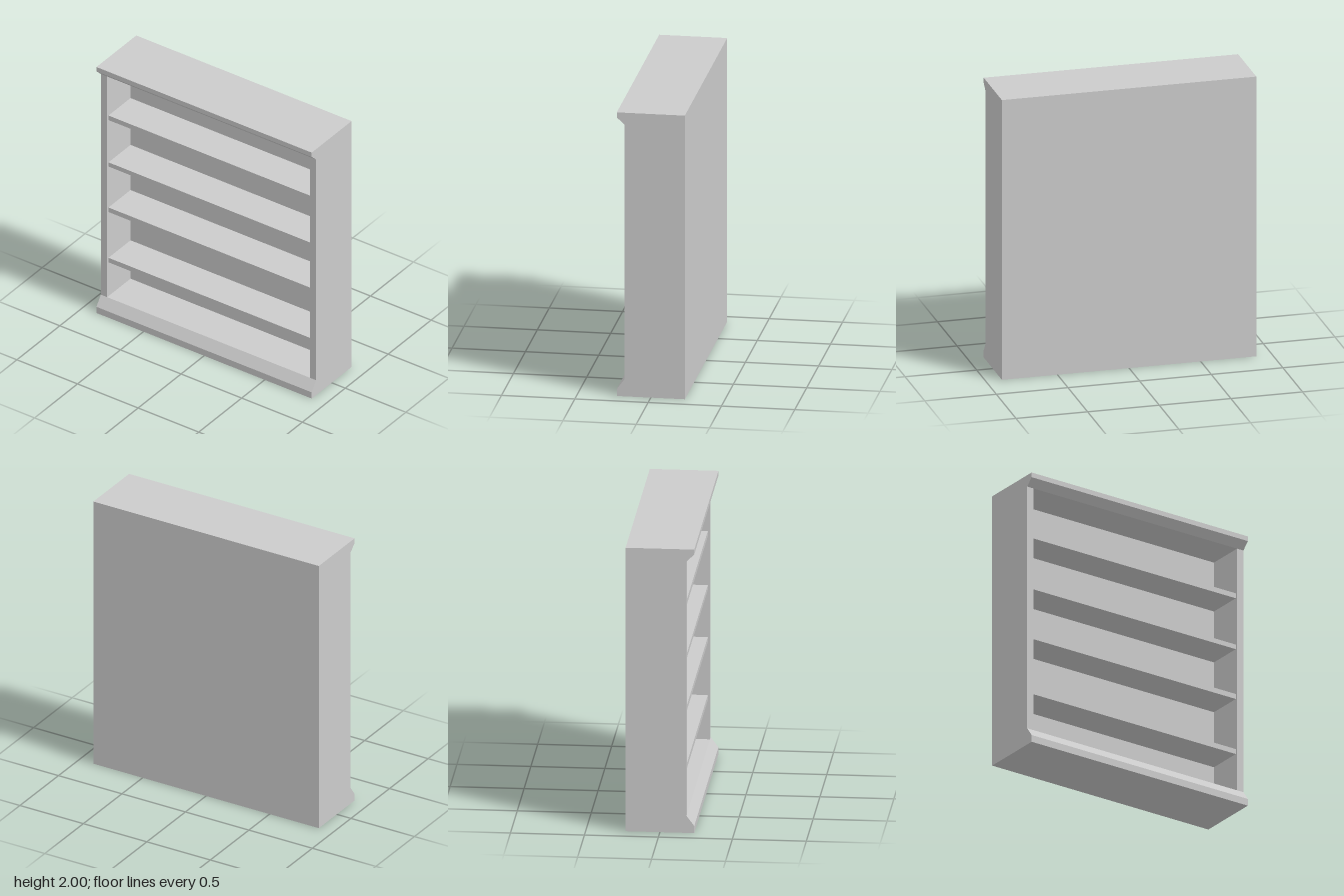
import * as THREE from 'three';

const W = 1.776, BACK = -0.232, FACE = 0.18, LIP = 0.232; // overall width and depth planes
const FLOOR = 0.12, CEILING = 1.915, SIDE = 0.052, INNER_BACK = -0.092;

export function createModel() {
  const group = new THREE.Group();
  const material = new THREE.MeshStandardMaterial({ color: 0xcccccc, flatShading: true });

  const add = (name, geometry) => {
    const mesh = new THREE.Mesh(geometry, material);
    mesh.name = name;
    group.add(mesh);
  };

  // Box given by its limits on each axis
  const box = (name, x0, x1, y0, y1, z0, z1) => {
    const g = new THREE.BoxGeometry(x1 - x0, y1 - y0, z1 - z0);
    g.translate((x0 + x1) / 2, (y0 + y1) / 2, (z0 + z1) / 2);
    add(name, g);
  };

  // Moulding: a (z, y) side profile run across the full width
  const moulding = (name, points) => {
    const shape = new THREE.Shape(points.map(([z, y]) => new THREE.Vector2(z, y)));
    const g = new THREE.ExtrudeGeometry(shape, { depth: W, bevelEnabled: false });
    g.rotateY(-Math.PI / 2).translate(W / 2, 0, 0);
    add(name, g);
  };

  // Plinth and cornice with sloped front lips
  moulding('base', [[BACK, 0], [LIP, 0], [LIP, 0.05], [FACE, FLOOR], [BACK, FLOOR]]);
  moulding('cornice', [[BACK, CEILING], [FACE, CEILING], [LIP, 1.965], [LIP, 2], [BACK, 2]]);

  // Side walls and thick back
  const inner = W / 2 - SIDE;
  box('leftSide', inner, W / 2, FLOOR, CEILING, BACK, FACE);
  box('rightSide', -W / 2, -inner, FLOOR, CEILING, BACK, FACE);
  box('backPanel', -inner, inner, FLOOR, CEILING, BACK, INNER_BACK);

  // Shelves, set slightly behind the side fronts
  [[0.395, 0.432], [0.804, 0.841], [1.174, 1.208], [1.552, 1.589]].forEach(([y0, y1], i) =>
    box(`shelf${i + 1}`, -inner, inner, y0, y1, INNER_BACK, 0.165));

  return group;
}
